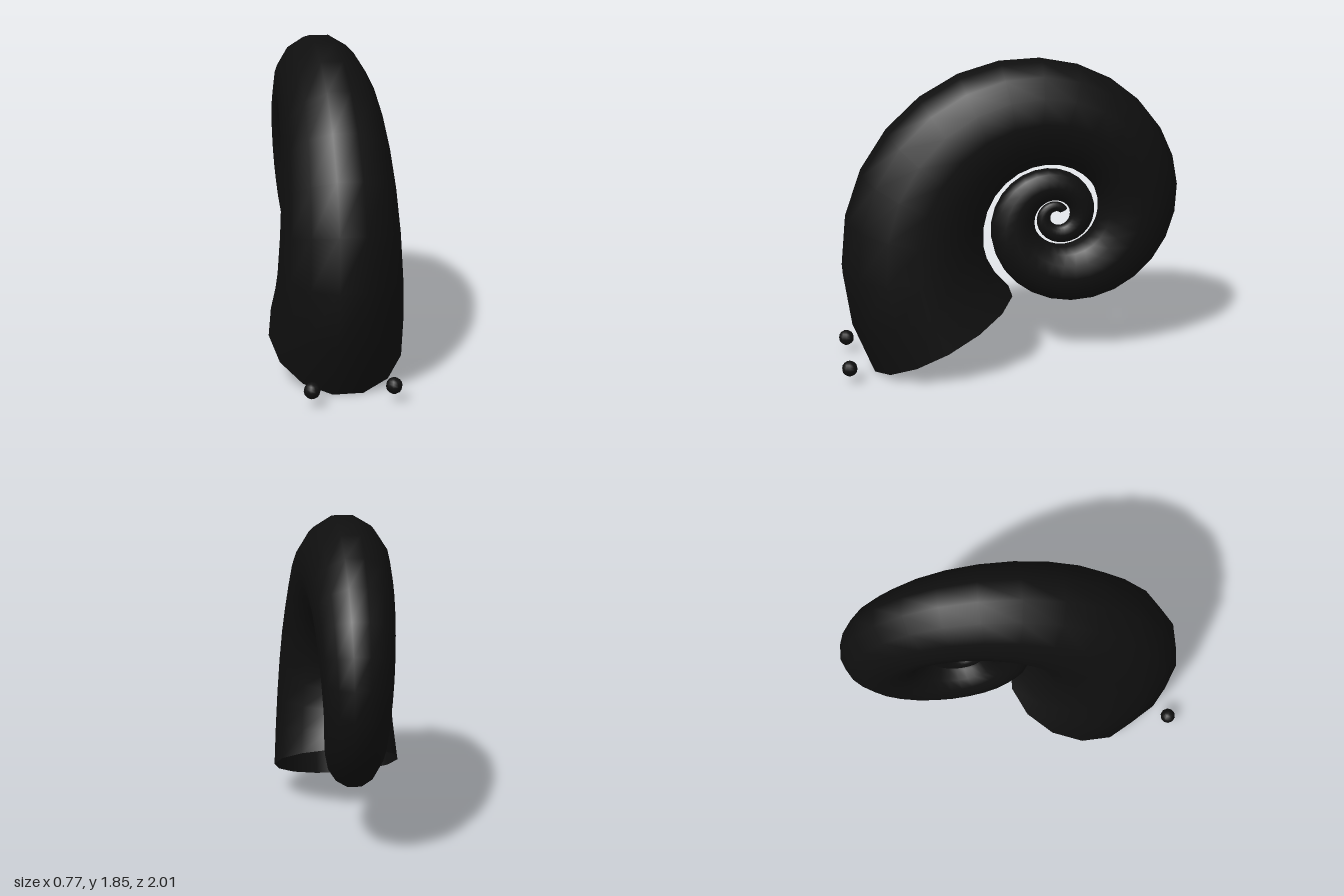
import * as THREE from 'three';

const SIDES = 14, SEGMENTS = 66, TURNS = 2.5;
const GROWTH = 0.187;                       // shrink rate of the logarithmic spiral, per radian
const AXIS = { y: 0.9, z: -0.31 };          // point the shell coils around
const START = { radius: 0.972, angle: -0.775, halfWidth: 0.387, halfDepth: 0.48 };
const TILT = 0.29;                          // section plane relative to the radius

// Elliptical sections that shrink and turn along the spiral
function spiralShell() {
  const positions = [], indices = [];
  for (let i = 0; i <= SEGMENTS; i++) {
    const turn = (i / SEGMENTS) * TURNS * Math.PI * 2;
    const scale = Math.exp(-GROWTH * turn);
    const angle = START.angle + turn;
    for (let j = 0; j < SIDES; j++) {
      const phi = (j / SIDES) * Math.PI * 2;
      const across = START.halfDepth * Math.sin(phi);
      positions.push(
        scale * START.halfWidth * Math.cos(phi),
        AXIS.y + scale * (START.radius * Math.sin(angle) + across * Math.sin(angle + TILT)),
        AXIS.z + scale * (START.radius * Math.cos(angle) + across * Math.cos(angle + TILT)));
      if (i < SEGMENTS) {
        const a = i * SIDES + j, b = i * SIDES + (j + 1) % SIDES;
        indices.push(a, a + SIDES, b, b, a + SIDES, b + SIDES);
      }
    }
  }
  const geometry = new THREE.BufferGeometry();
  geometry.setAttribute('position', new THREE.Float32BufferAttribute(positions, 3));
  geometry.setIndex(indices);
  geometry.computeVertexNormals();
  return geometry;
}

export function createModel() {
  const model = new THREE.Group();
  model.name = 'spiralShellCreature';

  const black = new THREE.MeshStandardMaterial({ color: 0x0f0f0f, side: THREE.DoubleSide });
  black.name = 'black';

  // Coiled shell, open at its mouth
  const shell = new THREE.Mesh(spiralShell(), black);
  shell.name = 'shell';
  model.add(shell);

  // Pair of small eyes in front of the mouth
  const eyeGeometry = new THREE.SphereGeometry(0.046, 10, 8);
  for (const side of [1, -1]) {
    const eye = new THREE.Mesh(eyeGeometry, black);
    eye.name = side > 0 ? 'leftEye' : 'rightEye';
    eye.position.set(side * 0.227, 0.096, 0.952);
    model.add(eye);
  }
  return model;
}
